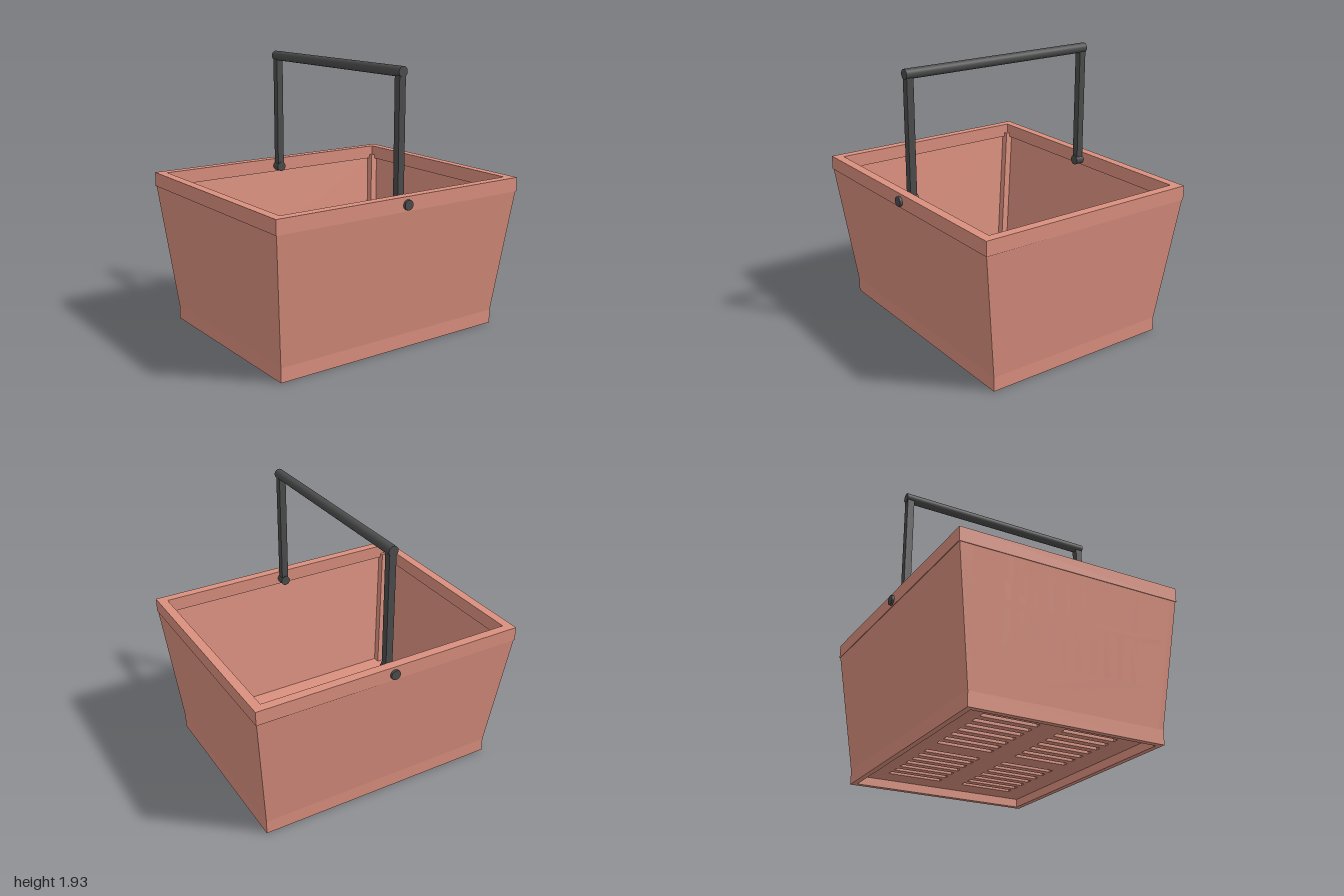
import * as THREE from 'three';

const plastic = new THREE.MeshStandardMaterial({ color: 0xd98f7e });
const dark = new THREE.MeshStandardMaterial({ color: 0x4c4c4c });

const BASE = 0.1, TOP = 1.03;          // walls run from the plinth up into the rim
const X = 0.70, Z = 0.905;             // half sizes at the plinth
const SX = 0.115 / 0.9, SZ = 0.09 / 0.9; // outward lean per unit of height
const T = 0.04, POST = 0.09;

function add(parent, name, geometry, material = plastic) {
  const mesh = new THREE.Mesh(geometry, material);
  mesh.name = name;
  parent.add(mesh);
  return mesh;
}

function polygon(points, Type = THREE.Shape) {
  return new Type(points.map(([x, y]) => new THREE.Vector2(x, y)));
}

const rect = (x0, y0, x1, y1) => [[x0, y0], [x1, y0], [x1, y1], [x0, y1]];

// Horizontal plate or ring: outline in x/z, extruded upward from y
function slab(halfX, halfZ, holes, y, height) {
  const shape = polygon(rect(-halfX, -halfZ, halfX, halfZ));
  shape.holes = holes.map((h) => polygon([...h].reverse(), THREE.Path));
  return new THREE.ExtrudeGeometry(shape, { depth: height, bevelEnabled: false })
    .rotateX(-Math.PI / 2).translate(0, y, 0);
}

// Lean a geometry outward with height
function lean(geometry, sx, sz) {
  const p = geometry.attributes.position;
  for (let i = 0; i < p.count; i++) {
    const rise = p.getY(i) - BASE;
    p.setX(i, p.getX(i) + sx * rise);
    p.setZ(i, p.getZ(i) + sz * rise);
  }
  geometry.computeVertexNormals();
  return geometry;
}

// Leaning wall with two rows of openings between upright slats
function wallGeometry(half, slope, dist, distSlope, slats, firstSlat) {
  const edge = (y) => half + slope * (y - BASE);
  const shape = polygon([[-half, BASE], [half, BASE], [edge(TOP), TOP], [-edge(TOP), TOP]]);
  const step = (2 * firstSlat) / (slats - 1), w = 0.026;
  for (const [y0, y1] of [[0.36, 0.65], [0.70, 1.0]]) {
    for (let i = 0; i <= slats; i++) {
      const left = -firstSlat + (i - 1) * step + w;
      const right = -firstSlat + i * step - w;
      const l = (y) => (i === 0 ? -edge(y) + POST : left);
      const r = (y) => (i === slats ? edge(y) - POST : right);
      shape.holes.push(polygon([[l(y0), y0], [l(y1), y1], [r(y1), y1], [r(y0), y0]], THREE.Path));
    }
  }
  const geo = new THREE.ExtrudeGeometry(shape, { depth: T, bevelEnabled: false });
  return lean(geo.translate(0, 0, dist - T), 0, distSlope);
}

export function createModel() {
  const model = new THREE.Group();
  model.name = 'shoppingBasket';

  // Plinth ring, slotted floor and top rim
  add(model, 'plinth', slab(X, Z, [rect(-X + T, -Z + T, X - T, Z - T)], 0, BASE));
  const slots = [];
  for (let k = 1; k <= 7; k++) {
    for (const s of [-1, 1]) {
      const z = s * k * 0.097;
      slots.push(rect(-0.49, z - 0.022, -0.09, z + 0.022), rect(0.09, z - 0.022, 0.49, z + 0.022));
    }
  }
  add(model, 'floor', slab(X - T, Z - T, slots, 0.06, 0.04));
  add(model, 'rim', slab(0.82, 1.0, [rect(-0.755, -0.935, 0.755, 0.935)], 1.0, 0.1));

  // Four walls
  const endWall = wallGeometry(X, SX, Z, SZ, 10, 0.47);
  const sideWall = wallGeometry(Z, SZ, X, SX, 14, 0.675);
  add(model, 'frontWall', endWall);
  add(model, 'backWall', endWall).rotation.y = Math.PI;
  add(model, 'leftWall', sideWall).rotation.y = Math.PI / 2;
  add(model, 'rightWall', sideWall).rotation.y = -Math.PI / 2;

  // Leaning corner posts, set just inside the wall faces
  for (const sx of [-1, 1]) {
    for (const sz of [-1, 1]) {
      const post = new THREE.BoxGeometry(POST, TOP - BASE, POST).toNonIndexed();
      post.translate(sx * (X - POST / 2 - 0.002), (TOP + BASE) / 2, sz * (Z - POST / 2 - 0.002));
      add(model, 'cornerPost', lean(post, sx * SX, sz * SZ));
    }
  }

  // Carrying handle: grip, two arms and the pivots through the rim
  const handle = new THREE.Group();
  handle.name = 'handle';
  model.add(handle);
  const grip = add(handle, 'grip', new THREE.CylinderGeometry(0.035, 0.035, 1.51, 32), dark);
  grip.rotation.z = Math.PI / 2;
  grip.position.y = 1.895;
  for (const s of [-1, 1]) {
    const arm = add(handle, 'handleArm', new THREE.BoxGeometry(0.05, 0.87, 0.05), dark);
    arm.position.set(s * 0.725, 1.46, 0);
    const pivot = add(handle, 'pivot', new THREE.CylinderGeometry(0.035, 0.035, 0.145, 24), dark);
    pivot.rotation.z = Math.PI / 2;
    pivot.position.set(s * 0.765, 1.045, 0);
  }
  return model;
}
